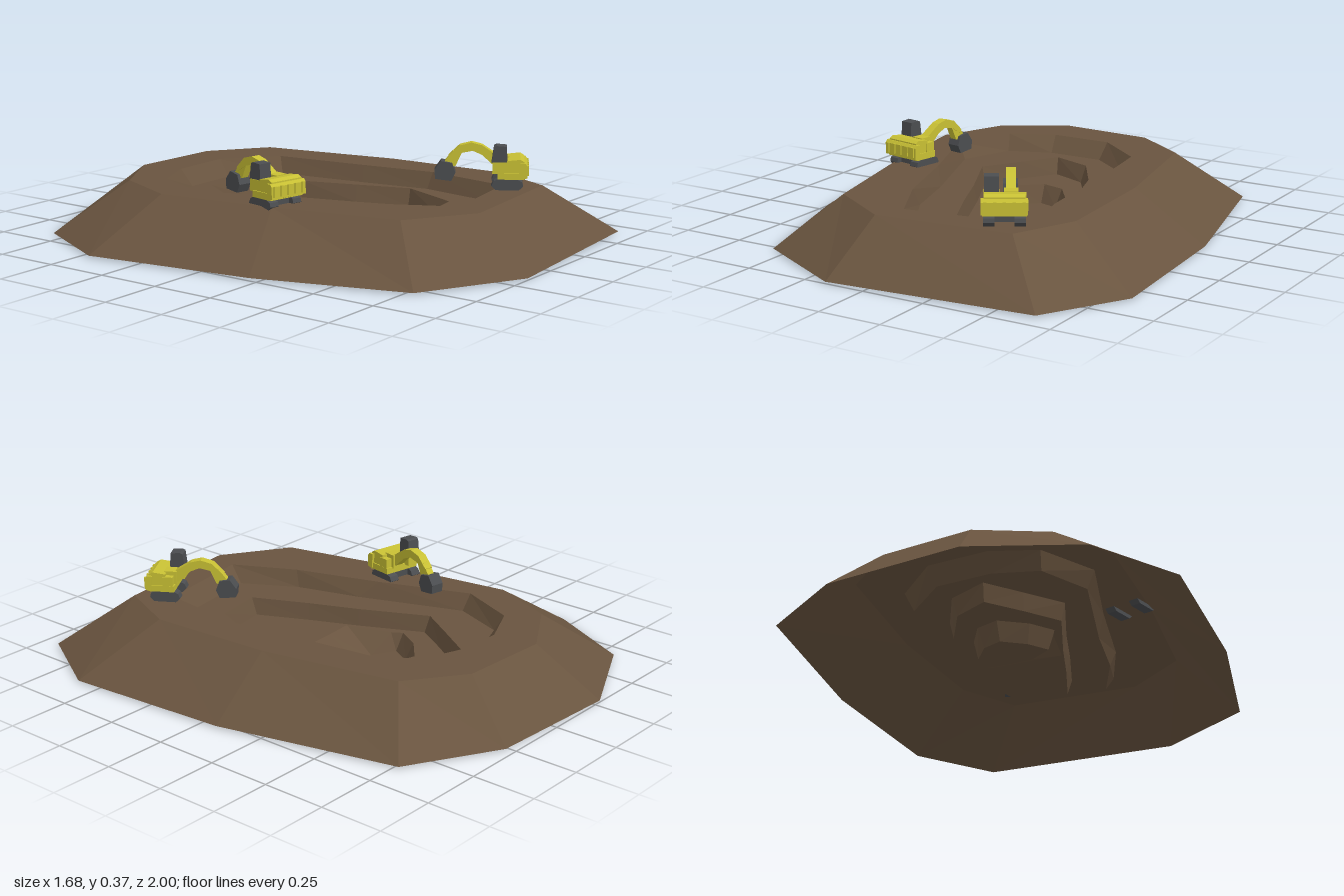
import * as THREE from 'three';

const mat = (name, color, side = THREE.FrontSide) => {
  const m = new THREE.MeshStandardMaterial({ color, side });
  m.name = name;
  return m;
};

// Contours as [x, z] points, running clockwise seen from above
const BASE = [[-.28, -1], [.27, -.97], [.62, -.77], [.79, -.07], [.84, .6], [.65, .925], [-.16, 1], [-.56, .785], [-.74, .21], [-.845, -.46], [-.67, -.81]];
const RIM = [[-.19, -.77], [.18, -.75], [.4, -.59], [.51, -.04], [.54, .46], [.43, .71], [-.11, .765], [-.37, .6], [-.48, .11], [-.55, -.36], [-.44, -.62]];
const PIT_1 = [[-.16, -.6], [.085, -.6], [.28, -.44], [.335, -.06], [.385, .24], [.34, .585], [-.065, .65], [-.19, .41], [-.3, .07], [-.435, -.285], [-.335, -.52]];
const BENCH_1 = [[-.15, -.55], [.075, -.55], [.255, -.41], [.31, -.05], [.36, .23], [.32, .535], [-.055, .595], [-.175, .385], [-.25, .13], [-.4, -.275], [-.32, -.485]];
const PIT_2 = [[-.09, -.5], [.075, -.44], [.19, -.255], [.26, -.04], [.33, .17], [.225, .42], [.03, .455], [-.07, .24], [-.15, .05], [-.275, -.21], [-.18, -.36]];
const BENCH_2 = [[-.08, -.475], [.065, -.415], [.175, -.25], [.24, -.03], [.31, .175], [.21, .395], [.035, .425], [-.06, .225], [-.14, .04], [-.255, -.2], [-.17, -.34]];
const PIT_3 = [[-.045, -.315], [.05, -.29], [.125, -.185], [.135, -.08], [.175, .06], [.1, .065], [0, .07], [-.115, .08], [-.17, -.1], [-.195, -.14], [-.14, -.235]];
const FLOOR = [[-.04, -.28], [.04, -.255], [.11, -.175], [.115, -.1], [.12, -.09], [.08, -.085], [.02, -.08], [-.06, -.08], [-.07, -.08], [-.165, -.13], [-.12, -.21]];

function facets(name, positions, material) {
  const g = new THREE.BufferGeometry();
  g.setAttribute('position', new THREE.Float32BufferAttribute(positions, 3));
  g.computeVertexNormals();
  const m = new THREE.Mesh(g, material);
  m.name = name;
  return m;
}

// Faceted strip between an outer and an inner contour
function band(name, outer, yo, inner, yi, material) {
  const p = [];
  outer.forEach((a, i) => {
    const j = (i + 1) % outer.length;
    const a0 = [a[0], yo, a[1]], a1 = [outer[j][0], yo, outer[j][1]];
    const b0 = [inner[i][0], yi, inner[i][1]], b1 = [inner[j][0], yi, inner[j][1]];
    p.push(...a0, ...b0, ...b1, ...a0, ...b1, ...a1);
  });
  return facets(name, p, material);
}

function floor(name, ring, y, material) {
  const p = [];
  ring.forEach((a, i) => {
    const b = ring[(i + 1) % ring.length];
    p.push(-.02, y, -.16, b[0], y, b[1], a[0], y, a[1]);
  });
  return facets(name, p, material);
}

// Box given by centre and size
function box(name, [x, y, z], [w, h, d], material) {
  const m = new THREE.Mesh(new THREE.BoxGeometry(w, h, d), material);
  m.position.set(x, y, z);
  m.name = name;
  return m;
}

// Side profile of [forward, height] points, extruded sideways about x
function plate(name, points, width, x, material) {
  const shape = new THREE.Shape(points.map(p => new THREE.Vector2(p[0], p[1])));
  const g = new THREE.ExtrudeGeometry(shape, { depth: width, bevelEnabled: false });
  g.translate(0, 0, -width / 2).rotateY(Math.PI / 2).translate(x, 0, 0);
  const m = new THREE.Mesh(g, material);
  m.name = name;
  return m;
}

// Excavator facing -z
function excavator(name, yellow, grey) {
  const g = new THREE.Group();
  g.name = name;
  // Undercarriage
  for (const side of [-1, 1]) {
    g.add(plate(side < 0 ? 'trackA' : 'trackB',
      [[-.025, -.015], [.06, -.015], [.078, .002], [.07, .02], [.055, .027], [-.02, .027], [-.038, .018], [-.042, .002]],
      .04, side * .055, grey));
  }
  g.add(box('turntable', [0, .015, -.015], [.08, .03, .07], grey));
  // Upper body
  g.add(box('deck', [0, .04, -.005], [.155, .025, .1], yellow));
  g.add(plate('engineHousing', [[-.045, .05], [.02, .05], [.02, .098], [-.03, .104], [-.045, .095]], .145, 0, yellow));
  g.add(plate('counterweight', [[-.058, .035], [-.035, .028], [-.03, .09], [-.05, .09], [-.058, .08]], .165, 0, yellow));
  for (let i = -2; i <= 2; i++) g.add(box('rearRib', [i * .034, .062, .06], [.012, .04, .006], yellow));
  g.add(box('sideTank', [.064, .068, -.03], [.025, .04, .04], yellow));
  // Cab
  g.add(box('cabBase', [-.045, .07, -.045], [.056, .045, .06], yellow));
  g.add(plate('cab', [[.018, .09], [.078, .09], [.07, .15], [.06, .155], [.022, .152]], .052, -.045, grey));
  // Boom, arm and bucket
  g.add(box('boomMount', [.024, .075, -.035], [.05, .055, .05], yellow));
  g.add(plate('boom', [[.03, .05], [.065, .06], [.115, .105], [.15, .12], [.19, .112], [.235, .085],
    [.243, .098], [.2, .14], [.155, .152], [.115, .142], [.05, .1]], .036, .023, yellow));
  g.add(plate('arm', [[.19, .115], [.215, .06], [.245, .05], [.258, .075], [.225, .118]], .03, .023, yellow));
  g.add(plate('bucket', [[.215, .035], [.228, .072], [.27, .08], [.295, .045], [.292, .01], [.23, .003]], .054, .022, grey));
  return g;
}

export function createModel() {
  const earth = mat('earth', 0x69543f, THREE.DoubleSide);
  const yellow = mat('machineYellow', 0xc8c034);
  const grey = mat('darkGrey', 0x4b4d50);
  const model = new THREE.Group();
  model.name = 'openPitMine';

  // Mound and stepped pit
  const pit = new THREE.Group();
  pit.name = 'terrain';
  pit.add(
    band('outerSlope', BASE, .007, RIM, .2, earth),
    band('topRim', RIM, .2, PIT_1, .2, earth),
    band('upperWall', PIT_1, .2, BENCH_1, .135, earth),
    band('upperBench', BENCH_1, .135, PIT_2, .135, earth),
    band('middleWall', PIT_2, .135, BENCH_2, .07, earth),
    band('middleBench', BENCH_2, .07, PIT_3, .07, earth),
    band('lowerWallAndRamp', PIT_3, .07, FLOOR, 0, earth),
    floor('pitFloor', FLOOR, 0, earth));
  model.add(pit);

  // Two machines at the pit edge
  const first = excavator('excavatorOne', yellow, grey);
  first.position.set(-.415, .2, .09);
  first.rotation.y = -.19;
  const second = excavator('excavatorTwo', yellow, grey);
  second.position.set(.345, .214, .625);
  second.rotation.y = .55;
  model.add(first, second);
  return model;
}
